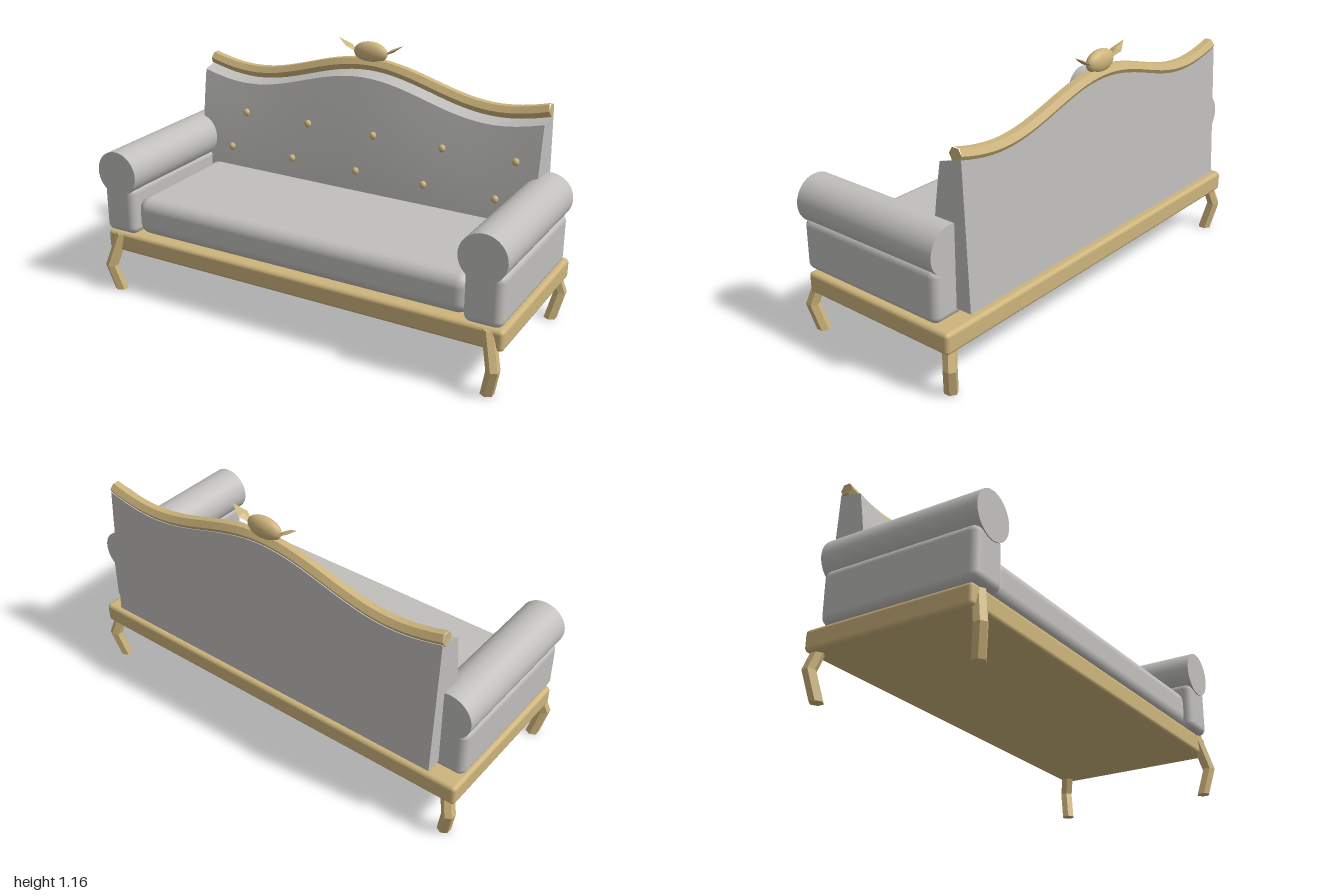
import * as THREE from 'three';
import { RoundedBoxGeometry } from 'three/addons/geometries/RoundedBoxGeometry.js';

const gold = new THREE.MeshStandardMaterial({ color: 0xcdb47c });
gold.name = 'gilded wood';
const fabric = new THREE.MeshStandardMaterial({ color: 0xc0bfbc });
fabric.name = 'grey upholstery';

// Height of the wavy crest line at x
const crest = (x) => 1.005 + 0.06 * Math.cos((Math.PI * x) / 0.63);

function flat(geometry) {
  const g = geometry.index ? geometry.toNonIndexed() : geometry;
  g.computeVertexNormals();
  return g;
}

// Rewrite every vertex by a rule
function reshape(geometry, rule) {
  const p = geometry.attributes.position;
  const v = new THREE.Vector3();
  for (let i = 0; i < p.count; i++) {
    rule(v.fromBufferAttribute(p, i));
    p.setXYZ(i, v.x, v.y, v.z);
  }
  geometry.computeVertexNormals();
  return geometry;
}

// Rounded box given by its limits on each axis
function cushion(x, y, z, radius, segments) {
  const g = new RoundedBoxGeometry(x[1] - x[0], y[1] - y[0], z[1] - z[0], segments, radius);
  g.translate((x[0] + x[1]) / 2, (y[0] + y[1]) / 2, (z[0] + z[1]) / 2);
  return g;
}

// Six-sided leg, bent outward at the knee
function legGeometry(sx, sz) {
  const path = [[0.935, 0.005, 0.37], [0.963, 0.132, 0.395], [0.92, 0.29, 0.355]];
  return flat(reshape(new THREE.CylinderGeometry(0.03, 0.03, 2, 6, 2), (v) => {
    const c = path[Math.round(v.y + 1)];
    v.set(sx * c[0] + v.x, c[1], sz * c[2] + v.z);
  }));
}

// Leaning slab with a wavy top and a gently bulging front
function backGeometry() {
  return reshape(new THREE.BoxGeometry(1.74, 1, 1, 40, 6, 1), (v) => {
    const t = v.y + 0.5;
    const front = v.z > 0;
    const top = crest(v.x) - (front ? 0.05 : 0.02);
    v.y = THREE.MathUtils.lerp(0.34, top, t);
    v.z = front ? -0.225 - 0.061 * Math.pow(t, 1.6) : -0.423 + 0.03 * t;
  });
}

export function createModel() {
  const model = new THREE.Group();
  model.name = 'sofa';
  const add = (name, geometry, material) => {
    const mesh = new THREE.Mesh(geometry, material);
    mesh.name = name;
    model.add(mesh);
    return mesh;
  };

  // Base and upholstery
  add('baseFrame', cushion([-0.99, 0.99], [0.203, 0.297], [-0.41, 0.375], 0.018, 2), gold);
  add('seatCushion', cushion([-0.825, 0.825], [0.305, 0.482], [-0.29, 0.362], 0.055, 5), fabric);
  add('backrest', backGeometry(), fabric);

  for (const s of [1, -1]) {
    const side = s > 0 ? 'left' : 'right';

    // Arms
    const xs = s > 0 ? [0.815, 0.985] : [-0.985, -0.815];
    add(side + 'ArmBody', cushion(xs, [0.305, 0.54], [-0.35, 0.39], 0.035, 3), fabric);
    const roll = new THREE.CylinderGeometry(0.105, 0.105, 0.745, 40);
    roll.rotateX(Math.PI / 2).translate(s * 0.895, 0.6, 0.0225);
    add(side + 'ArmRoll', roll, fabric);

    // Legs
    add(side + 'FrontLeg', legGeometry(s, 1), gold);
    add(side + 'BackLeg', legGeometry(s, -1), gold);

    // Crest leaves
    const leaf = add(side + 'CrestLeaf', flat(new THREE.OctahedronGeometry(1)), gold);
    leaf.scale.set(0.062, 0.008, 0.028);
    leaf.rotation.z = s * 0.52;
    leaf.position.set(s * 0.112, 1.133, -0.365);
  }

  // Crest rail with closed ends
  const points = [];
  for (let i = 0; i <= 40; i++) {
    const x = -0.87 + (1.74 * i) / 40;
    points.push(new THREE.Vector3(x, crest(x) - 0.005, -0.365));
  }
  const curve = new THREE.CatmullRomCurve3(points);
  add('crestRail', flat(new THREE.TubeGeometry(curve, 40, 0.031, 6)), gold);
  for (const s of [1, -1]) {
    const cap = new THREE.CircleGeometry(0.031, 6);
    cap.rotateY((s * Math.PI) / 2).translate(s * 0.87, crest(0.87) - 0.005, -0.365);
    add('crestRailEnd', cap, gold);
  }

  // Central crest ornament
  const boss = add('crestBoss', new THREE.SphereGeometry(1, 24, 16), gold);
  boss.scale.set(0.085, 0.05, 0.034);
  boss.position.set(0, 1.113, -0.365);

  // Tufting buttons in two staggered rows
  const buttonGeometry = new THREE.SphereGeometry(0.018, 12, 8);
  for (const [start, y, z] of [[-0.69, 0.58, -0.229], [-0.613, 0.76, -0.25]]) {
    for (let i = 0; i < 5; i++) {
      const button = add('button', buttonGeometry, gold);
      button.position.set(start + i * 0.345, y, z);
      button.scale.set(0.9, 1, 0.8);
    }
  }
  return model;
}
